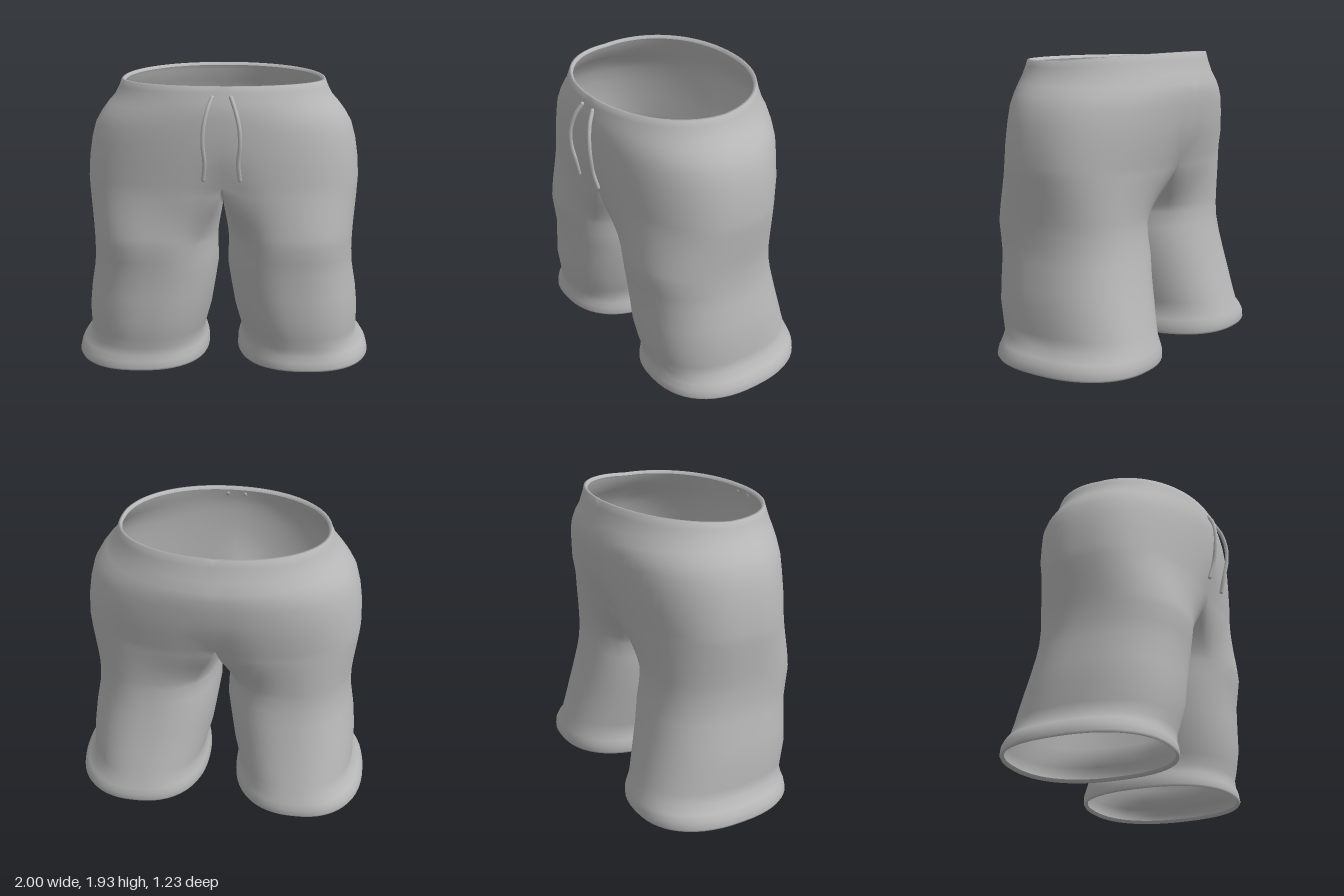
import * as THREE from 'three';
import { mergeVertices } from 'three/addons/utils/BufferGeometryUtils.js';

const OUT = 40, IN = 20; // steps around the outside and the inseam of one side

// Hip sections from waist to crotch: y, half width, front z, back z, roundness, centre crease, back rise
const HIPS = [
  [1.86, 0.645, 0.5, -0.51, 2.1, 0, 0.05],
  [1.88, 0.652, 0.51, -0.52, 2.1, 0, 0.05],
  [1.878, 0.666, 0.525, -0.535, 2.1, 0, 0.05],
  [1.84, 0.68, 0.535, -0.545, 2.1, 0, 0.04],
  [1.78, 0.71, 0.55, -0.57, 2.1, 0, 0.015],
  [1.73, 0.755, 0.56, -0.597, 2.1, 0, 0],
  [1.67, 0.8, 0.562, -0.6, 2.15, 0, 0],
  [1.6, 0.84, 0.562, -0.595, 2.2, 0, 0],
  [1.5, 0.867, 0.558, -0.58, 2.25, 0, 0],
  [1.38, 0.885, 0.55, -0.56, 2.35, 0.01, 0],
  [1.25, 0.892, 0.535, -0.52, 2.5, 0.035, 0],
];

// Leg sections from thigh to hem: y, inner x, outer x, front z, back z
const LEGS = [
  [0.85, 0.035, 0.86, 0.518, -0.435],
  [0.75, 0.035, 0.86, 0.505, -0.442],
  [0.65, 0.032, 0.868, 0.49, -0.46],
  [0.5, 0.055, 0.895, 0.482, -0.488],
  [0.35, 0.08, 0.912, 0.478, -0.525],
  [0.22, 0.115, 0.912, 0.455, -0.56],
  [0.15, 0.13, 0.918, 0.437, -0.58],
  [0.1, 0.112, 0.965, 0.435, -0.597],
  [0.06, 0.102, 0.99, 0.448, -0.61],
  [0.015, 0.1, 1.0, 0.455, -0.61],
  [0, 0.108, 0.992, 0.447, -0.602],
  [0.02, 0.125, 0.975, 0.43, -0.585],
];

const curve = (v, n) => Math.sign(v) * Math.pow(Math.abs(v), 2 / n);

// Half section of the hips, from front centre round the side to back centre
function hipRing([y, w, front, back, n, crease, rise]) {
  return Array.from({ length: OUT + 1 }, (_, i) => {
    const a = (i / OUT) * Math.PI;
    const x = i % OUT ? w * curve(Math.sin(a), n) : 0;
    const c = curve(Math.cos(a), n);
    const dip = crease * Math.exp(-((x / 0.15) ** 2));
    const z = c > 0 ? c * (front - dip) : -c * (back + dip);
    return new THREE.Vector3(x, y + rise * Math.max(0, -c), z);
  });
}

// Closed leg section, starting at the front inner corner
function legRing([y, inner, outer, front, back]) {
  const corner = (130 * Math.PI) / 180, n = 2.35;
  return Array.from({ length: OUT + IN }, (_, i) => {
    const a = i <= OUT
      ? corner * (1 - (2 * i) / OUT)
      : -corner - ((i - OUT) / IN) * 2 * (Math.PI - corner);
    return new THREE.Vector3(
      (inner + outer) / 2 + ((outer - inner) / 2) * curve(Math.cos(a), n), y,
      (front + back) / 2 + ((front - back) / 2) * curve(Math.sin(a), n));
  });
}

function shortsGeometry() {
  const hips = HIPS.map(hipRing);

  // Crotch section: last hip section closed by a sagging seam
  const crotch = hips[hips.length - 1].slice();
  const zBack = crotch[OUT].z, zFront = crotch[0].z;
  for (let j = 1; j < IN; j++) {
    const v = j / IN;
    crotch.push(new THREE.Vector3(0, 1.25 - 0.17 * Math.sin(v * Math.PI), THREE.MathUtils.lerp(zBack, zFront, v)));
  }

  // Thigh sections blend from the crotch to the round leg
  const thigh = legRing(LEGS[0]);
  const legs = [crotch];
  for (let k = 1; k < 7; k++) {
    const u = k / 7, s = u * u * (3 - 2 * u) * 0.5 + u * 0.5;
    legs.push(crotch.map((p, i) => {
      const q = p.clone().lerp(thigh[i], s);
      q.y = THREE.MathUtils.lerp(p.y, thigh[i].y, u);
      return q;
    }));
  }
  legs.push(...LEGS.map(legRing));

  // Skin the sections on both sides
  const pos = [];
  const tri = (a, b, c) => {
    for (const p of [a, b, c]) pos.push(p.x, p.y, p.z);
    for (const p of [a, c, b]) pos.push(p.x === 0 ? 0 : -p.x, p.y, p.z);
  };
  const skin = (rings, closed) => {
    for (let r = 0; r + 1 < rings.length; r++) {
      const A = rings[r], B = rings[r + 1], count = A.length;
      for (let i = 0; i < (closed ? count : count - 1); i++) {
        const j = (i + 1) % count;
        tri(A[i], B[i], B[j]);
        tri(A[i], B[j], A[j]);
      }
    }
  };
  skin(hips, false);
  skin(legs, true);

  const geo = new THREE.BufferGeometry();
  geo.setAttribute('position', new THREE.Float32BufferAttribute(pos, 3));
  const welded = mergeVertices(geo, 1e-4);
  welded.computeVertexNormals();
  return welded;
}

export function createModel() {
  const model = new THREE.Group();
  model.name = 'shorts';
  const cloth = new THREE.MeshStandardMaterial({ color: 0xb8b8b8, side: THREE.DoubleSide });
  cloth.name = 'grey cloth';

  const add = (geo, name, parent) => {
    const mesh = new THREE.Mesh(geo, cloth);
    mesh.name = name;
    parent.add(mesh);
    return mesh;
  };
  add(shortsGeometry(), 'shortsFabric', model);

  // Hanging drawstrings with rounded ends
  for (const side of [1, -1]) {
    const string = new THREE.Group();
    string.name = side > 0 ? 'leftDrawstring' : 'rightDrawstring';
    const points = [
      [0.058, 1.815, 0.545], [0.085, 1.74, 0.585], [0.108, 1.64, 0.607],
      [0.113, 1.53, 0.605], [0.103, 1.42, 0.585], [0.113, 1.31, 0.558],
    ].map(([x, y, z]) => new THREE.Vector3(side * x, y, z));
    add(new THREE.TubeGeometry(new THREE.CatmullRomCurve3(points), 32, 0.013, 8), 'cord', string);
    for (const p of [points[0], points[5]]) {
      add(new THREE.SphereGeometry(0.013, 8, 6), 'cordEnd', string).position.copy(p);
    }
    model.add(string);
  }
  return model;
}
